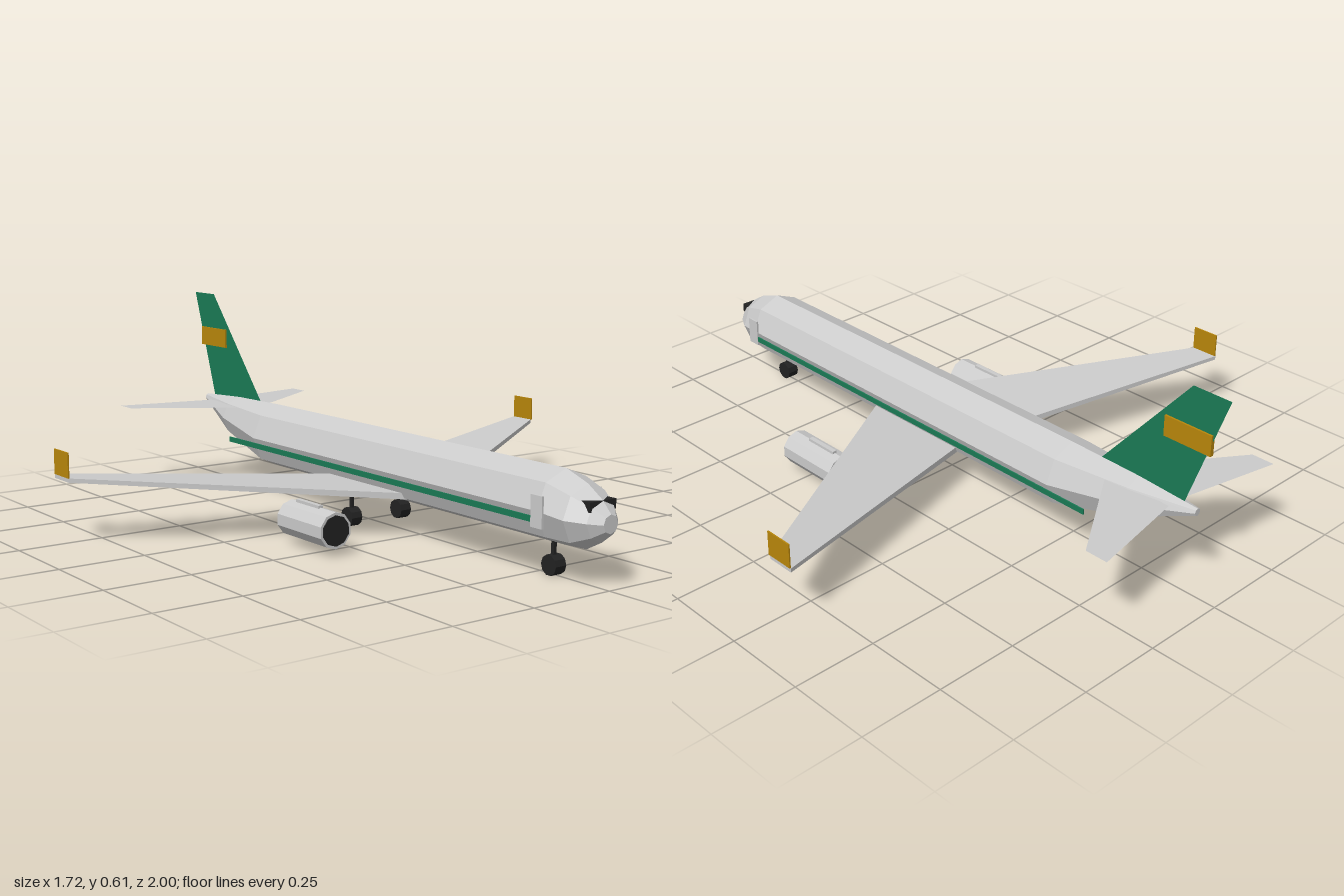
import * as THREE from 'three';

const paint = (color) => new THREE.MeshStandardMaterial({ color, flatShading: true, side: THREE.DoubleSide });
const GREY = paint(0xcccccc);
const GREEN = paint(0x1a7a55);
const GOLD = paint(0xb8860b);
const DARK = paint(0x222222);

// Skin a list of equal-sized rings and close both ends
function loft(rings) {
  const n = rings[0].length;
  const index = [];
  for (let r = 0; r < rings.length - 1; r++) {
    for (let i = 0; i < n; i++) {
      const j = (i + 1) % n;
      const a = r * n + i, b = r * n + j;
      index.push(a, b, b + n, a, b + n, a + n);
    }
  }
  const last = (rings.length - 1) * n;
  for (let i = 1; i < n - 1; i++) {
    index.push(0, i + 1, i, last, last + i, last + i + 1);
  }
  const geometry = new THREE.BufferGeometry();
  geometry.setAttribute('position', new THREE.Float32BufferAttribute(rings.flat(2), 3));
  geometry.setIndex(index);
  const flat = geometry.toNonIndexed();
  flat.computeVertexNormals();
  return flat;
}

export function createModel() {
  const plane = new THREE.Group();
  plane.name = 'airliner';

  const add = (name, geometry, material, x = 0, y = 0, z = 0, parent = plane) => {
    const mesh = new THREE.Mesh(geometry, material);
    mesh.name = name;
    mesh.position.set(x, y, z);
    parent.add(mesh);
    return mesh;
  };
  const box = (w, h, d) => new THREE.BoxGeometry(w, h, d);

  // Eight-sided fuselage: [z, centre height, radius] from tail to nose
  const stations = [
    [-0.92, 0.26, 0.011], [-0.72, 0.218, 0.064], [-0.48, 0.187, 0.099],
    [0.84, 0.187, 0.099], [0.918, 0.175, 0.084], [0.97, 0.172, 0.054], [1.0, 0.17, 0.025],
  ];
  add('fuselage', loft(stations.map(([z, cy, r]) =>
    Array.from({ length: 8 }, (_, i) => {
      const a = (i * Math.PI) / 4;
      return [r * Math.cos(a), cy + r * Math.sin(a), z];
    }))), GREY);

  // Windscreen block showing through both sides of the nose
  add('windscreen', box(0.09, 0.026, 0.03), DARK, 0, 0.212, 0.957);

  // Tail fin is a thin sheet in the centre plane
  const fin = new THREE.Shape([
    new THREE.Vector2(0.59, 0.284), new THREE.Vector2(0.875, 0.27),
    new THREE.Vector2(0.995, 0.613), new THREE.Vector2(0.875, 0.613),
  ]);
  add('tailFin', new THREE.ShapeGeometry(fin).rotateY(Math.PI / 2), GREEN);
  add('tailFinBand', box(0.012, 0.06, 0.152), GOLD, 0, 0.469, -0.872);

  // Wheel and strut, hung from the given height
  const gear = (name, x, z, top) => {
    const group = new THREE.Group();
    group.name = name;
    group.position.set(x, 0, z);
    plane.add(group);
    add('wheel', new THREE.CylinderGeometry(0.028, 0.028, 0.036, 10).rotateZ(Math.PI / 2),
      DARK, 0, 0.028, 0, group);
    add('strut', box(0.01, top - 0.03, 0.01), DARK, 0, (top + 0.03) / 2, 0, group);
  };
  gear('noseGear', 0, 0.8, 0.1);

  for (const side of [1, -1]) {
    const label = side > 0 ? 'left' : 'right';

    // Swept tapered wing with slight dihedral
    const section = (x, y, t, back, front) =>
      [[-t, back], [t, back], [t, front], [-t, front]].map(([dy, z]) => [side * x, y + dy, z]);
    const sections = [
      section(0.06, 0.122, 0.009, -0.09, 0.27),
      section(0.857, 0.182, 0.006, -0.315, -0.23),
    ];
    add(label + 'Wing', loft(side > 0 ? sections : sections.reverse()), GREY);
    add(label + 'Winglet', box(0.004, 0.072, 0.086), GOLD, side * 0.857, 0.224, -0.27);

    // Tailplane is a flat swept sheet
    const tail = new THREE.Shape([
      new THREE.Vector2(side * 0.03, 0.632), new THREE.Vector2(side * 0.34, 0.84),
      new THREE.Vector2(side * 0.34, 0.91), new THREE.Vector2(side * 0.03, 0.85),
    ]);
    add(label + 'Tailplane', new THREE.ShapeGeometry(tail).rotateX(-Math.PI / 2), GREY, 0, 0.26, 0);

    // Engine pod with dark intake and small pylon
    const engine = new THREE.Group();
    engine.name = label + 'Engine';
    engine.position.set(side * 0.343, 0.072, 0.212);
    plane.add(engine);
    add('nacelle', new THREE.CylinderGeometry(0.051, 0.051, 0.21, 10).rotateX(Math.PI / 2),
      GREY, 0, 0, 0, engine);
    add('intake', new THREE.CylinderGeometry(0.043, 0.043, 0.006, 10).rotateX(Math.PI / 2),
      DARK, 0, 0, 0.105, engine);
    add('pylon', box(0.014, 0.02, 0.11), GREY, 0, 0.047, -0.02, engine);

    // Side stripe and door
    add(label + 'Stripe', box(0.004, 0.016, 1.46), GREEN, side * 0.1, 0.165, 0.11);
    add(label + 'Door', box(0.006, 0.084, 0.042), GREY, side * 0.1, 0.187, 0.842);

    gear(label + 'MainGear', side * 0.09, 0.04, 0.125);
  }

  return plane;
}
